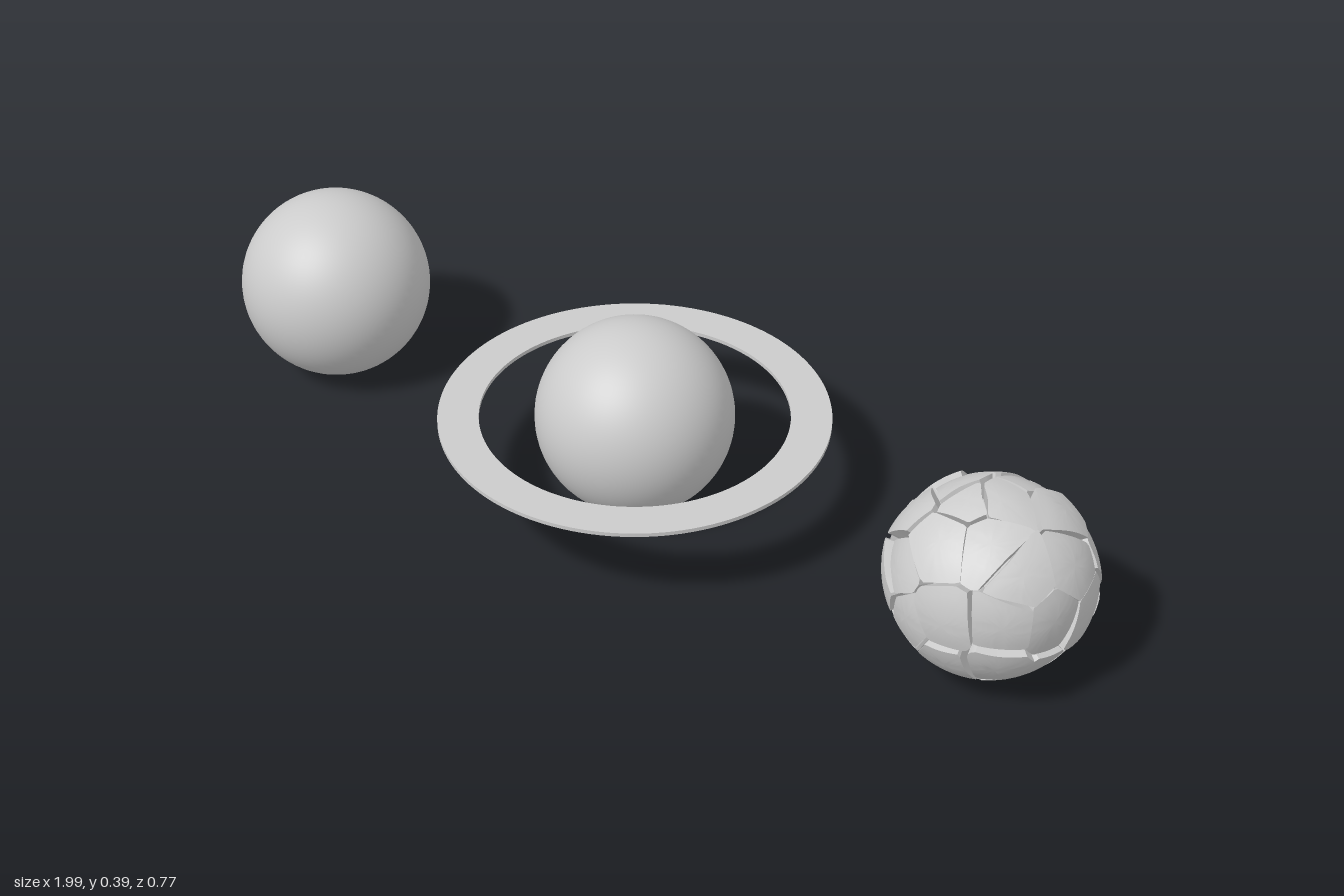
import * as THREE from 'three';
import { toCreasedNormals } from 'three/addons/utils/BufferGeometryUtils.js';

const R = 0.197;
const material = new THREE.MeshStandardMaterial({ color: 0xcccccc });

function add(parent, name, geometry, x = 0, y = 0, z = 0) {
  const mesh = new THREE.Mesh(geometry, material);
  mesh.name = name;
  mesh.position.set(x, y, z);
  parent.add(mesh);
  return mesh;
}

// Small seeded generator, 0..1
function seeded(seed) {
  return () => {
    seed = (seed * 16807) % 2147483647;
    return seed / 2147483647;
  };
}

// Shard centres: large hand-placed pieces on the outer side, scattered ones elsewhere
function shardCentres(random) {
  const placed = [
    [-0.02, -0.04], [0.02, 0.07], [0.1, -0.01], [0.05, -0.14], [-0.13, -0.03],
    [-0.12, 0.08], [0.03, 0.155], [-0.07, 0.15], [0.12, 0.1], [-0.115, -0.135],
  ].map(([y, z]) => new THREE.Vector3(Math.sqrt(Math.max(0, R * R - y * y - z * z)), y, z).normalize());
  const centres = [...placed];
  const n = 46;
  for (let i = 0; i < n; i++) {
    const y = 1 - (2 * i + 1) / n, r = Math.sqrt(1 - y * y), a = i * 2.39996;
    const p = new THREE.Vector3(r * Math.cos(a), y, r * Math.sin(a));
    p.x += (random() - 0.5) * 0.32;
    p.y += (random() - 0.5) * 0.32;
    p.z += (random() - 0.5) * 0.32;
    p.normalize();
    if (placed.every((q) => q.angleTo(p) > 0.42)) centres.push(p);
  }
  return centres;
}

// One thick piece of the shell: the part of the sphere nearest to centre s
function shardGeometry(s, centres, gap) {
  const segments = 48;
  const e1 = new THREE.Vector3(0.31, 0.83, 0.47).cross(s).normalize();
  const e2 = s.clone().cross(e1);
  // Rows of [share of the cell's angle, radius], from the cap's middle round to the inside
  const rows = [[0, R], [0.25, R], [0.5, R], [0.75, R], [1, R], [0.97, R * 0.74], [0, R * 0.74]];
  const points = [], index = [];
  for (let k = 0; k < segments; k++) {
    const a = (k / segments) * Math.PI * 2;
    const u = e1.clone().multiplyScalar(Math.cos(a)).addScaledVector(e2, Math.sin(a));
    let limit = 1;
    for (const o of centres) {
      const towards = u.dot(o);
      if (o !== s && towards > 0) limit = Math.min(limit, Math.atan((1 - s.dot(o)) / towards));
    }
    limit -= gap;
    for (const [share, radius] of rows) {
      const t = limit * share;
      const p = s.clone().multiplyScalar(Math.cos(t) * radius).addScaledVector(u, Math.sin(t) * radius);
      points.push(...p.addScaledVector(s, -R).toArray());
    }
  }
  const m = rows.length;
  for (let k = 0; k < segments; k++) {
    const a = k * m, b = ((k + 1) % segments) * m;
    for (let i = 0; i < m - 1; i++) {
      if (i < m - 2) index.push(a + i, a + i + 1, b + i + 1);
      if (i > 0) index.push(a + i, b + i + 1, b + i);
      if (i === m - 2) index.push(a + i, a + i + 1, b + i);
    }
  }
  // The last band ends in a single point, so it keeps one triangle per step
  const clean = [];
  for (let i = 0; i < index.length; i += 3) {
    const tri = index.slice(i, i + 3);
    const ends = tri.filter((v) => v % m === m - 1).length;
    if (ends < 2) clean.push(...tri);
  }
  const unique = [];
  const seen = new Set();
  for (let i = 0; i < clean.length; i += 3) {
    const key = clean.slice(i, i + 3).sort((p, q) => p - q).join();
    if (!seen.has(key)) unique.push(...clean.slice(i, i + 3));
    seen.add(key);
  }
  const geometry = new THREE.BufferGeometry();
  geometry.setAttribute('position', new THREE.Float32BufferAttribute(points, 3));
  geometry.setIndex(unique);
  return toCreasedNormals(geometry, 0.4);
}

export function createModel() {
  const model = new THREE.Group();
  model.name = 'planets';

  // Plain planet
  add(model, 'plainPlanet', new THREE.SphereGeometry(R, 64, 40), -0.803, 0.205, 0);

  // Planet with a thin flat ring
  const ringed = new THREE.Group();
  ringed.name = 'ringedPlanet';
  ringed.position.set(-0.01, 0.205, 0);
  model.add(ringed);
  add(ringed, 'planet', new THREE.SphereGeometry(R, 64, 40));
  const disc = new THREE.Shape().absarc(0, 0, 0.387, 0, Math.PI * 2);
  disc.holes.push(new THREE.Path().absarc(0, 0, 0.306, 0, Math.PI * 2, true));
  const ring = new THREE.ExtrudeGeometry(disc, { depth: 0.008, bevelEnabled: false, curveSegments: 64 });
  ring.rotateX(-Math.PI / 2);
  add(ringed, 'ring', toCreasedNormals(ring, 0.5), 0, -0.001, 0);

  // Shattered planet: loose shards around a core
  const shattered = new THREE.Group();
  shattered.name = 'shatteredPlanet';
  shattered.position.set(0.804, 0.201, 0);
  model.add(shattered);
  add(shattered, 'core', new THREE.IcosahedronGeometry(0.155, 3));
  const random = seeded(4711);
  const centres = shardCentres(random);
  centres.forEach((s, i) => {
    const shard = add(shattered, 'shard', shardGeometry(s, centres, 0.012 + random() * 0.035));
    const lift = i === 0 ? -0.004 : i === 9 ? 0.012 : -0.014 * random();
    shard.position.copy(s).multiplyScalar(R + lift);
    // Slight tilt, as if knocked loose
    shard.rotation.set((random() - 0.5) * 0.16, (random() - 0.5) * 0.16, (random() - 0.5) * 0.16);
  });
  return model;
}
